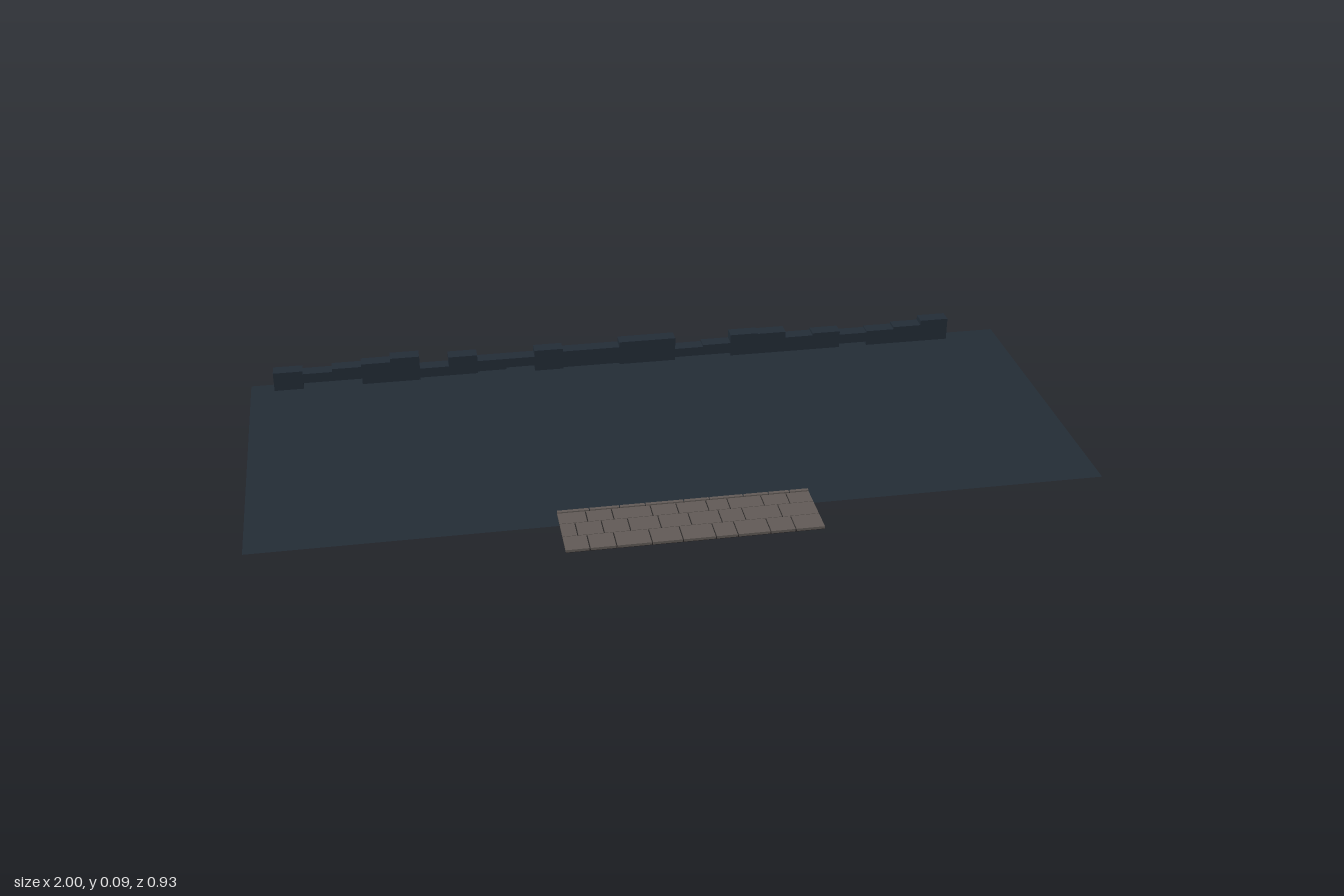
import * as THREE from 'three';

const material = (name, color, side = THREE.FrontSide) => {
  const m = new THREE.MeshStandardMaterial({ color, side });
  m.name = name;
  return m;
};

// Box given by its limits on each axis
function block(name, mat, x0, x1, y0, y1, z0, z1) {
  const mesh = new THREE.Mesh(new THREE.BoxGeometry(x1 - x0, y1 - y0, z1 - z0), mat);
  mesh.position.set((x0 + x1) / 2, (y0 + y1) / 2, (z0 + z1) / 2);
  mesh.name = name;
  return mesh;
}

export function createModel() {
  const slate = material('slate blue', 0x232d36, THREE.DoubleSide);
  const wallSlate = material('wall slate', 0x232d37);
  const stone = material('warm grey stone', 0x625b57);
  const mortar = material('dark mortar', 0x2a2828);
  const model = new THREE.Group();
  model.name = 'terrace';

  // Thin ground sheet
  const ground = new THREE.Mesh(new THREE.PlaneGeometry(2, 0.81).rotateX(-Math.PI / 2), slate);
  ground.position.set(0, 0.03, -0.058);
  ground.name = 'ground';
  model.add(ground);

  // Uneven row of blocks along the back edge: [bottom, top]
  const wall = new THREE.Group();
  wall.name = 'backWall';
  const heights = [
    [0.008, 0.08], [0.046, 0.072], [0.046, 0.08], [0.03, 0.087], [0.025, 0.097], [0.036, 0.062],
    [0.036, 0.088], [0.041, 0.071], [0.046, 0.071], [0.024, 0.088], [0.034, 0.08], [0.034, 0.08],
    [0.03, 0.094], [0.03, 0.094], [0.038, 0.062], [0.038, 0.067], [0.014, 0.09], [0.018, 0.088],
    [0.024, 0.071], [0.024, 0.077], [0.04, 0.067], [0.024, 0.071], [0.002, 0.077], [0.018, 0.09],
  ];
  const pitch = 0.075, start = -0.94;
  heights.forEach(([y0, y1], i) => {
    const x = start + i * pitch;
    wall.add(block('wallBlock', wallSlate, x, x + pitch, y0, y1, -0.463, -0.427));
  });
  model.add(wall);

  // Paved step at the front edge
  const paving = new THREE.Group();
  paving.name = 'paving';
  paving.add(block('pavingBed', mortar, -0.294, 0.294, 0.0302, 0.035, 0.296, 0.461));

  // Rows of stones: z limits, top height and joint positions
  const rows = [
    [0.296, 0.306, 0.04, [-0.22, -0.15, -0.09, 0, 0.06, 0.14, 0.2, 0.25]],
    [0.306, 0.352, 0.038, [-0.23, -0.17, -0.08, -0.02, 0.05, 0.1, 0.18, 0.24]],
    [0.352, 0.406, 0.038, [-0.26, -0.2, -0.14, -0.07, 0, 0.07, 0.125, 0.21]],
    [0.406, 0.463, 0.038, [-0.24, -0.18, -0.1, -0.03, 0.045, 0.095, 0.17, 0.228]],
  ];
  const gap = 0.0015;
  for (const [z0, z1, top, joints] of rows) {
    const edges = [-0.296, ...joints, 0.296];
    for (let i = 0; i < edges.length - 1; i++) {
      paving.add(block('pavingStone', stone, edges[i] + gap, edges[i + 1] - gap, 0.032, top, z0 + gap / 2, z1 - gap / 2));
    }
  }
  model.add(paving);
  return model;
}
